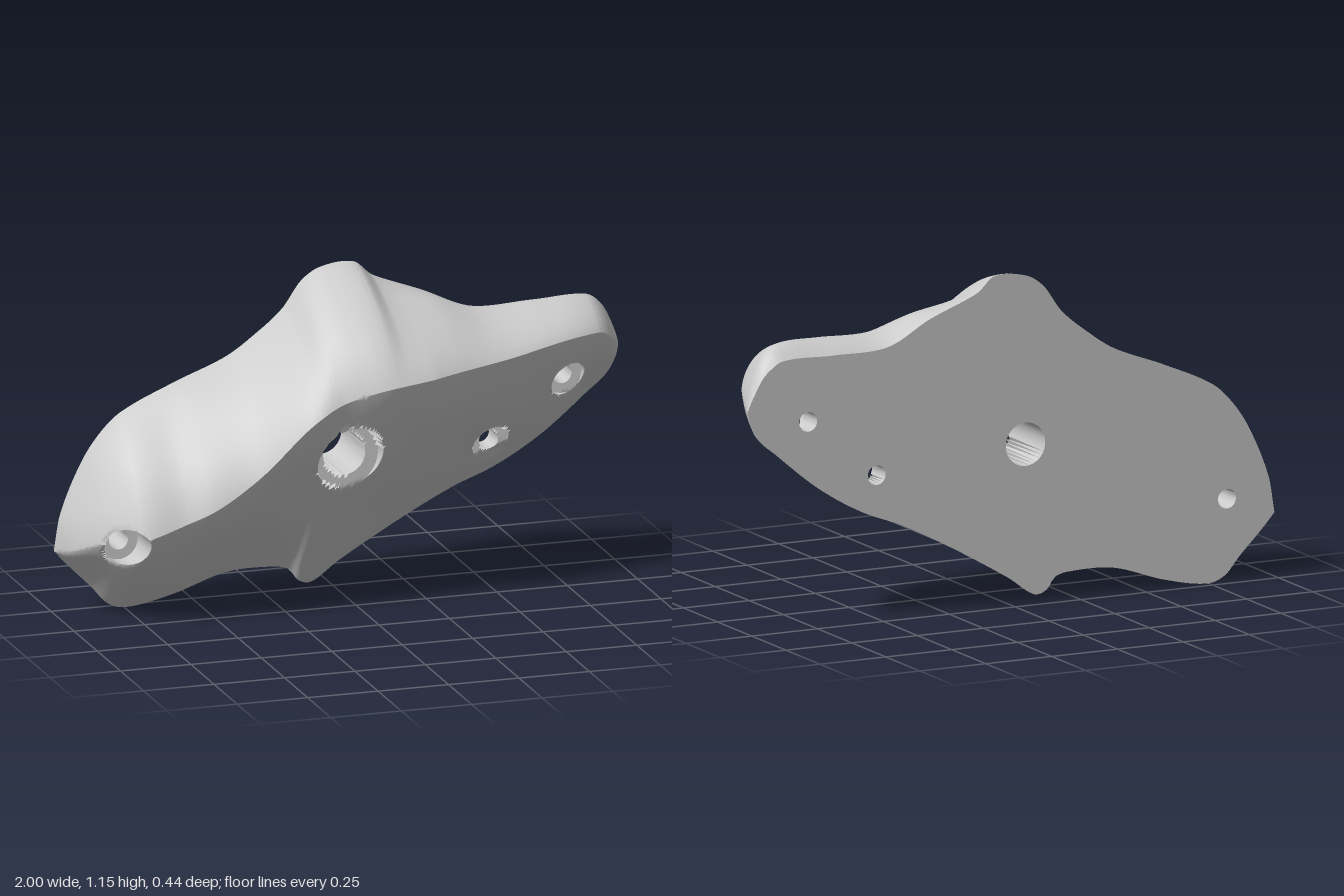
import * as THREE from 'three';
import { toCreasedNormals } from 'three/addons/utils/BufferGeometryUtils.js';

const BACK = -0.22, COLS = 320, ROWS = 120, SNAP = 0.009;

// outline and ridge of the rock, each as [x, value] along its length
const TOP = [[-1, 0.22], [-0.98, 0.34], [-0.91, 0.51], [-0.845, 0.61], [-0.765, 0.685], [-0.58, 0.77], [-0.39, 0.845],
  [-0.285, 0.915], [-0.19, 0.995], [-0.125, 1.085], [-0.055, 1.13], [0.065, 1.14], [0.13, 1.09], [0.305, 1.05],
  [0.465, 0.995], [0.68, 0.995], [0.865, 0.99], [0.93, 0.94], [0.975, 0.845], [1, 0.765]];
const BOTTOM = [[-1, 0.22], [-0.95, 0.165], [-0.87, 0.085], [-0.81, 0.02], [-0.74, 0], [-0.58, 0.03], [-0.39, 0.09],
  [-0.23, 0.095], [-0.165, 0.08], [-0.135, 0.04], [-0.085, 0.03], [0.01, 0.095], [0.225, 0.22], [0.41, 0.315],
  [0.57, 0.38], [0.73, 0.475], [0.89, 0.605], [0.975, 0.685], [1, 0.765]];
const RIDGE_Y = [[-1, 0.22], [-0.9, 0.29], [-0.75, 0.33], [-0.6, 0.39], [-0.4, 0.52], [-0.2, 0.72], [0, 0.8],
  [0.22, 0.83], [0.5, 0.85], [0.86, 0.88], [0.95, 0.82], [1, 0.765]];
const RIDGE_Z = [[-1, -0.22], [-0.96, -0.1], [-0.9, -0.01], [-0.8, 0.085], [-0.75, 0.105], [-0.64, 0.115], [-0.55, 0.15],
  [-0.4, 0.165], [-0.28, 0.195], [-0.2, 0.21], [-0.1, 0.2], [0.07, 0.22], [0.2, 0.21], [0.27, 0.19], [0.4, 0.15],
  [0.6, 0.09], [0.8, 0.03], [0.9, -0.02], [0.95, -0.08], [0.98, -0.15], [1, -0.22]];
// how far the upper lip overhangs the flat back
const OVERHANG = [[-1, 0], [0.1, 0], [0.3, 0.03], [0.5, 0.06], [0.9, 0.06], [0.97, 0.03], [1, 0]];

// bolt and screw holes: bore radius r, countersink radius R, seat depth
const HOLES = [
  { x: -0.055, y: 0.55, r: 0.075, R: 0.12, seat: 0.04 },
  { x: -0.82, y: 0.285, r: 0.034, R: 0.068, seat: -0.07 },
  { x: 0.51, y: 0.5, r: 0.034, R: 0.068, seat: -0.12 },
  { x: 0.77, y: 0.71, r: 0.034, R: 0.068, seat: -0.12 },
];

// smooth interpolation through [x, value] points
function sample(pts, x) {
  let i = 0;
  while (i < pts.length - 2 && x > pts[i + 1][0]) i++;
  const slope = (a, b) => (pts[b][1] - pts[a][1]) / (pts[b][0] - pts[a][0]);
  const [x0, v0] = pts[i], [x1, v1] = pts[i + 1], w = x1 - x0, t = (x - x0) / w;
  const m0 = slope(Math.max(i - 1, 0), i + 1) * w, m1 = slope(i, Math.min(i + 2, pts.length - 1)) * w;
  const t2 = t * t, t3 = t2 * t;
  return v0 * (2 * t3 - 3 * t2 + 1) + m0 * (t3 - 2 * t2 + t) + v1 * (3 * t2 - 2 * t3) + m1 * (t3 - t2);
}

// one point of the rock face: u runs along x, v from bottom edge to top edge
function facePoint(u, v) {
  const x = 0.6 * u + 0.4 * Math.sin(u * Math.PI / 2);
  const bottom = sample(BOTTOM, x), top = sample(TOP, x);
  const ridge = Math.min(Math.max(sample(RIDGE_Y, x), bottom), top);
  const height = Math.max(sample(RIDGE_Z, x) - BACK, 0);
  const split = 0.55;
  let y, f;
  if (v < split) {
    const t = v / split;
    y = bottom + (ridge - bottom) * t;
    f = 0.5 * t + 0.5 * Math.sin(t * Math.PI / 2);
  } else {
    const s = (1 - v) / (1 - split);
    y = top + (ridge - top) * Math.pow(s, 1.35);
    f = 0.45 * s + 0.55 * Math.sin(s * Math.PI / 2);
    y -= sample(OVERHANG, x) * Math.pow(Math.max(0, 1 - f / 0.35), 1.5);
  }
  // gentle lumps that fade out at the edges
  const lumps = 0.007 * Math.sin(13 * x + 5 * y) * Math.sin(11 * y - 4 * x + 1);
  const z = BACK + height * f + lumps * 4 * f * (1 - f);
  return { x, y, z: Math.max(z, BACK), hole: null };
}

// press the point into any hole it falls in, snapping rims to clean circles
function cutHoles(p) {
  for (const h of HOLES) {
    const dx = p.x - h.x, dy = p.y - h.y, d = Math.hypot(dx, dy) || 1e-6;
    if (d > h.R + SNAP) continue;
    let to = d;
    if (d < h.r) {
      to = h.r;
      p.z = BACK;
      p.hole = h;
    } else if (d < h.R) {
      p.z = Math.min(p.z, h.seat);
      if (d - h.r < SNAP) to = h.r;
      else if (h.R - d < SNAP) to = h.R * 0.999;
    } else to = h.R;
    p.x = h.x + dx / d * to;
    p.y = h.y + dy / d * to;
  }
  return p;
}

function rockFace() {
  const pts = [], position = [], index = [];
  for (let i = 0; i <= COLS; i++) {
    for (let j = 0; j <= ROWS; j++) {
      const p = cutHoles(facePoint(2 * i / COLS - 1, j / ROWS));
      pts.push(p);
      position.push(p.x, p.y, p.z);
    }
  }
  const addTriangle = (a, b, c) => {
    if (!(pts[a].hole && pts[b].hole && pts[c].hole)) index.push(a, b, c);
  };
  for (let i = 0; i < COLS; i++) {
    for (let j = 0; j < ROWS; j++) {
      const a = i * (ROWS + 1) + j, b = a + ROWS + 1;
      addTriangle(a, b, b + 1);
      addTriangle(a, b + 1, a + 1);
    }
  }
  const g = new THREE.BufferGeometry();
  g.setAttribute('position', new THREE.Float32BufferAttribute(position, 3));
  g.setIndex(index);
  return toCreasedNormals(g, 0.7);
}

// flat mounting plate, drawn mirrored and turned round to face backwards
function flatBack() {
  const outline = [];
  const add = (i, v) => {
    const p = facePoint(2 * i / COLS - 1, v);
    outline.push(new THREE.Vector2(-p.x, p.y));
  };
  for (let i = 0; i <= COLS; i += 2) add(i, 0);
  for (let i = COLS - 2; i > 0; i -= 2) add(i, 1);
  const shape = new THREE.Shape(outline);
  for (const h of HOLES) shape.holes.push(new THREE.Path().absarc(-h.x, h.y, h.r, 0, Math.PI * 2));
  return new THREE.ShapeGeometry(shape, 24).rotateY(Math.PI).translate(0, 0, BACK);
}

export function createModel() {
  const group = new THREE.Group();
  group.name = 'climbingHold';
  const material = new THREE.MeshStandardMaterial({ color: 0xcccccc, side: THREE.DoubleSide });
  const face = new THREE.Mesh(rockFace(), material);
  face.name = 'rockFaceWithBoltHoles';
  const back = new THREE.Mesh(flatBack(), material);
  back.name = 'flatBack';
  group.add(face, back);
  return group;
}
